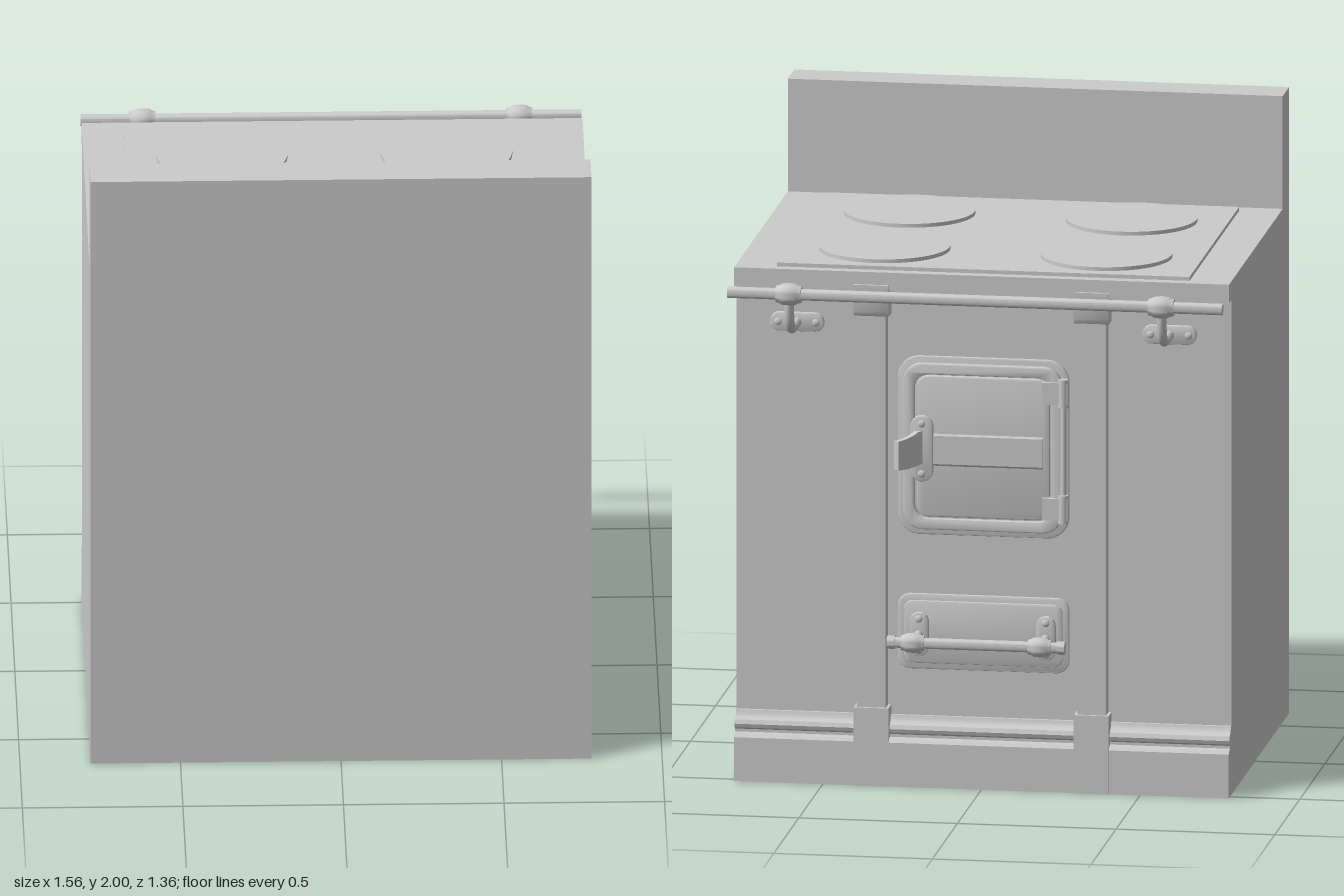
import * as THREE from 'three';
import { toCreasedNormals } from 'three/addons/utils/BufferGeometryUtils.js';

const mat = new THREE.MeshStandardMaterial({ color: 0xcccccc });
const FACE = -0.47; // plane of the cooking face, looking along -z

function add(parent, name, geo, x = 0, y = 0, z = 0) {
  const m = new THREE.Mesh(geo, mat);
  m.name = name;
  m.position.set(x, y, z);
  parent.add(m);
  return m;
}

function box(parent, name, x0, x1, y0, y1, z0, z1) {
  return add(parent, name, new THREE.BoxGeometry(x1 - x0, y1 - y0, z1 - z0),
    (x0 + x1) / 2, (y0 + y1) / 2, (z0 + z1) / 2);
}

function roundRect(w, h, r, T = THREE.Shape) {
  const s = new T(), a = w / 2, b = h / 2;
  s.absarc(a - r, b - r, r, 0, Math.PI / 2);
  s.absarc(r - a, b - r, r, Math.PI / 2, Math.PI);
  s.absarc(r - a, r - b, r, Math.PI, Math.PI * 1.5);
  s.absarc(a - r, r - b, r, Math.PI * 1.5, Math.PI * 2);
  s.closePath();
  return s;
}

// Plate on the face, from depth z0 out to z1, with a softened edge
function plate(parent, name, shape, x, y, z0, z1, bevel = 0.005) {
  const geo = new THREE.ExtrudeGeometry(shape, {
    depth: z0 - z1 - 2 * bevel, curveSegments: 8, bevelEnabled: bevel > 0,
    bevelSize: bevel, bevelThickness: bevel, bevelOffset: -bevel, bevelSegments: 2,
  });
  return add(parent, name, toCreasedNormals(geo, 0.6), x, y, z1 + bevel);
}

// Side profile given as [z, y] points, swept from x0 to x1
function sweep(parent, name, pts, x0, x1) {
  const shape = new THREE.Shape(pts.map(([z, y]) => new THREE.Vector2(-z, y)));
  const geo = new THREE.ExtrudeGeometry(shape, { depth: x1 - x0, bevelEnabled: false });
  geo.rotateY(Math.PI / 2);
  return add(parent, name, toCreasedNormals(geo, 0.6), x0, 0, 0);
}

// Turned piece lying along x, given as [radius, x] points
function turned(parent, name, pts, x, y, z) {
  const geo = new THREE.LatheGeometry(pts.map(([r, t]) => new THREE.Vector2(r, t)), 24);
  geo.rotateZ(-Math.PI / 2);
  return add(parent, name, toCreasedNormals(geo, 0.6), x, y, z);
}

const collar = (s) => [[0, -0.04], [0.026, -0.04], [0.028, -0.03], [0.033, -0.022], [0.035, 0],
  [0.033, 0.022], [0.028, 0.03], [0.026, 0.04], [0, 0.04]].map(([r, t]) => [r * s, t * s]);
const rod = (r, half) => [[0, -half], [r, -half], [r, half], [0, half]];

function screws(parent, x, y, z, dx, dy) {
  for (const s of [-1, 1]) {
    const m = add(parent, 'screw', new THREE.SphereGeometry(0.012, 12, 6, 0, Math.PI * 2, 0, Math.PI / 2),
      x + s * dx, y + s * dy, z);
    m.rotation.x = -Math.PI / 2;
    m.scale.y = 0.5;
  }
}

export function createModel() {
  const g = new THREE.Group();
  g.name = 'rangeCooker';

  // Body, worktop and upstand
  box(g, 'body', -0.78, 0.78, 0, 1.58, FACE, 0.68);
  box(g, 'worktop', -0.78, 0.78, 1.58, 1.64, -0.52, 0.68);
  box(g, 'upstand', -0.78, 0.78, 1.64, 2, 0.55, 0.68);

  // Hob with four hotplates
  box(g, 'hobPlate', -0.65, 0.65, 1.64, 1.652, -0.485, 0.505);
  for (const x of [-0.35, 0.35]) for (const z of [-0.24, 0.26]) {
    add(g, 'hotplate', new THREE.CylinderGeometry(0.205, 0.205, 0.016, 64), x, 1.656, z);
  }

  // Skirting moulding
  sweep(g, 'skirting', [[FACE, 0], [-0.525, 0], [-0.525, 0.14], [-0.515, 0.15], [-0.498, 0.153],
    [-0.498, 0.162], [-0.507, 0.168], [-0.511, 0.18], [-0.505, 0.193], [-0.493, 0.2],
    [-0.486, 0.206], [-0.482, 0.22], [FACE, 0.22]], -0.78, 0.78);

  // Pilasters with base and cap
  for (const x of [-0.347, 0.347]) {
    const p = new THREE.Group();
    p.name = 'pilaster';
    g.add(p);
    box(p, 'pilasterShaft', x - 0.045, x + 0.045, 0.2, 1.58, -0.52, FACE);
    box(p, 'pilasterBase', x - 0.055, x + 0.055, 0, 0.25, -0.53, FACE);
    sweep(p, 'pilasterCap', [[FACE, 1.5], [-0.522, 1.5], [-0.53, 1.515], [-0.53, 1.6], [FACE, 1.6]],
      x - 0.055, x + 0.055);
  }

  // Upper door: back plate, raised rim and inset panel
  const door = new THREE.Group();
  door.name = 'fireDoor';
  g.add(door);
  const dy = 1.085;
  plate(door, 'doorFrame', roundRect(0.54, 0.57, 0.07), 0, dy, FACE, -0.485);
  const rim = roundRect(0.5, 0.53, 0.06);
  rim.holes.push(roundRect(0.43, 0.46, 0.045, THREE.Path));
  plate(door, 'doorRim', rim, 0, dy, -0.48, -0.505);
  plate(door, 'doorPanel', roundRect(0.42, 0.45, 0.04), 0, dy, -0.48, -0.498);
  sweep(door, 'doorRidge', [[-0.495, 1.02], [-0.503, 1.03], [-0.503, 1.12], [-0.495, 1.13]], -0.19, 0.19);

  // Hinges
  for (const y of [0.9, 1.27]) {
    box(door, 'hingeLeaf', -0.27, -0.19, y - 0.035, y + 0.035, -0.515, -0.48);
    add(door, 'hingeKnuckle', new THREE.CylinderGeometry(0.016, 0.016, 0.09, 16), -0.255, y, -0.505);
  }
  add(door, 'hingePin', new THREE.CylinderGeometry(0.009, 0.009, 0.46, 12), -0.255, dy, -0.5);

  // Latch: oval mount and slanting paddle
  plate(door, 'latchMount', roundRect(0.07, 0.21, 0.034), 0.19, 1.08, -0.495, -0.515);
  screws(door, 0.19, 1.08, -0.515, 0, 0.08);
  const paddle = new THREE.Shape();
  paddle.moveTo(0, -0.045);
  paddle.lineTo(0.02, -0.045);
  paddle.quadraticCurveTo(0.07, -0.055, 0.12, -0.048);
  paddle.lineTo(0.12, 0.043);
  paddle.quadraticCurveTo(0.06, 0.045, 0.03, 0.06);
  paddle.lineTo(0, 0.06);
  const paddleGeo = new THREE.ExtrudeGeometry(paddle, { depth: 0.018, bevelEnabled: false });
  const latch = add(door, 'latchPaddle', toCreasedNormals(paddleGeo, 0.6), 0.18, 1.077, -0.505);
  latch.rotation.y = Math.atan2(0.085, 0.06);

  // Lower door with bar handle
  const drawer = new THREE.Group();
  drawer.name = 'ashDoor';
  g.add(drawer);
  plate(drawer, 'ashDoorPlate', roundRect(0.54, 0.24, 0.04), 0, 0.49, FACE, -0.485);
  plate(drawer, 'ashDoorPanel', roundRect(0.5, 0.2, 0.03), 0, 0.49, -0.48, -0.493);
  turned(drawer, 'handleBar', rod(0.017, 0.28), 0, 0.485, -0.625);
  for (const s of [-1, 1]) {
    const x = s * 0.2;
    plate(drawer, 'handleMount', roundRect(0.06, 0.14, 0.029), x, 0.485, -0.49, -0.51);
    screws(drawer, x, 0.485, -0.51, 0, 0.05);
    const post = add(drawer, 'handlePost', new THREE.CylinderGeometry(0.014, 0.014, 0.12, 16), x, 0.485, -0.565);
    post.rotation.x = Math.PI / 2;
    turned(drawer, 'handleCollar', collar(0.9), x, 0.485, -0.625);
    turned(drawer, 'handleTip', rod(0.021, 0.012), s * 0.268, 0.485, -0.625);
  }

  // Towel rail on curved brackets
  const rail = new THREE.Group();
  rail.name = 'towelRail';
  g.add(rail);
  turned(rail, 'railBar', rod(0.018, 0.78), 0, 1.59, -0.648);
  const arm = new THREE.CurvePath();
  const v = (y, z) => new THREE.Vector3(0, y, z);
  arm.add(new THREE.LineCurve3(v(1.465, FACE), v(1.465, -0.57)));
  arm.add(new THREE.CubicBezierCurve3(v(1.465, -0.57), v(1.465, -0.625), v(1.5, -0.64), v(1.59, -0.648)));
  for (const x of [-0.587, 0.587]) {
    plate(rail, 'bracketMount', roundRect(0.17, 0.06, 0.029), x, 1.465, FACE, -0.49);
    screws(rail, x, 1.465, -0.49, 0.06, 0);
    add(rail, 'bracketArm', new THREE.TubeGeometry(arm, 28, 0.015, 14), x, 0, 0);
    turned(rail, 'railCollar', collar(1), x, 1.59, -0.648);
  }

  return g;
}
